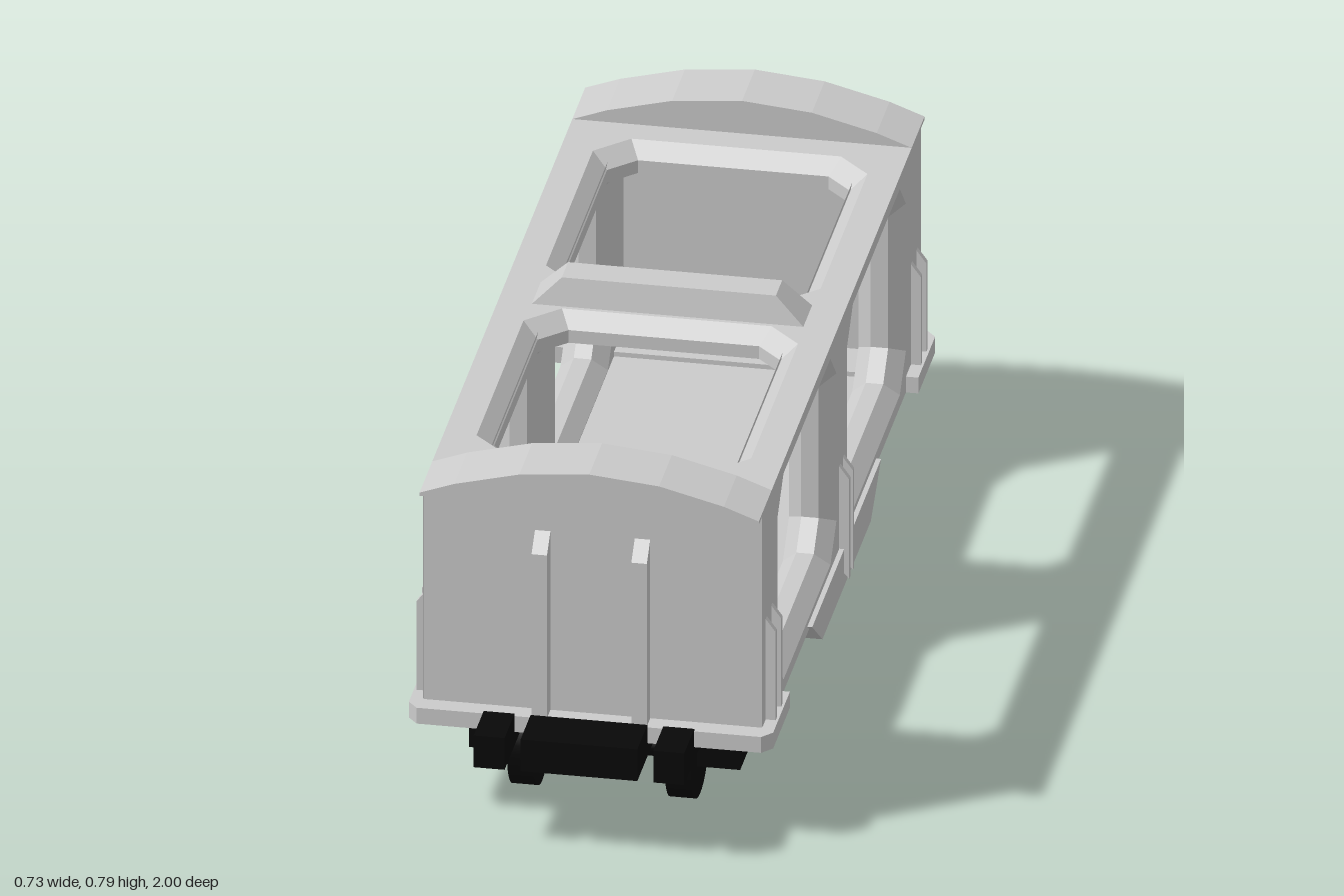
import * as THREE from 'three';

const grey = new THREE.MeshStandardMaterial({ color: 0xcccccc, flatShading: true });
const sheet = new THREE.MeshStandardMaterial({ color: 0xcccccc, flatShading: true, side: THREE.DoubleSide });
const black = new THREE.MeshStandardMaterial({ color: 0x080808 });
const vecs = (pts) => pts.map(([a, b]) => new THREE.Vector2(a, b));

function add(parent, name, geometry, material = grey) {
  const mesh = new THREE.Mesh(geometry, material);
  mesh.name = name;
  parent.add(mesh);
  return mesh;
}

// box given by its min and max on each axis
function box(parent, name, [x0, x1], [y0, y1], [z0, z1], material) {
  const g = new THREE.BoxGeometry(x1 - x0, y1 - y0, z1 - z0);
  g.translate((x0 + x1) / 2, (y0 + y1) / 2, (z0 + z1) / 2);
  return add(parent, name, g, material);
}

// outline extruded along local z, centred on it
function prism(pts, depth, holes = []) {
  const shape = new THREE.Shape(vecs(pts));
  shape.holes = holes.map((h) => new THREE.Path(vecs(h)));
  return new THREE.ExtrudeGeometry(shape, { depth, bevelEnabled: false }).translate(0, 0, -depth / 2);
}
// the same with outline (z, y) along x, and outline (x, z) along y
const prismX = (pts, depth, holes) => prism(pts, depth, holes).rotateY(-Math.PI / 2);
const prismY = (pts, depth) => prism(pts, depth).rotateX(Math.PI / 2);

// chamfered rectangle, counter-clockwise
function octagon(cx, w, h, c) {
  return [[w - c, -h], [w, c - h], [w, h - c], [w - c, h], [c - w, h], [-w, h - c], [-w, c - h], [c - w, -h]]
    .map(([x, y]) => [x + cx, y]);
}

// bands joining successive octagons, each [points, depth]
function loft(sections) {
  const pos = [];
  for (let s = 0; s < sections.length - 1; s++) {
    const [p, zp] = sections[s], [q, zq] = sections[s + 1];
    for (let i = 0; i < p.length; i++) {
      const j = (i + 1) % p.length;
      const a = [...p[i], -zp], b = [...p[j], -zp], c = [...q[j], -zq], d = [...q[i], -zq];
      pos.push(...a, ...b, ...c, ...a, ...c, ...d);
    }
  }
  const g = new THREE.BufferGeometry();
  g.setAttribute('position', new THREE.Float32BufferAttribute(pos, 3));
  g.computeVertexNormals();
  return g;
}

// panel with two framed openings; steps are [depth, shrink] of the frame
function openPanel(name, halfHeight, holeHalf, steps) {
  const panel = new THREE.Group();
  panel.name = name;
  const ring = (cx, shrink) => octagon(cx, 0.317 - shrink, holeHalf - shrink, 0.065 - shrink * 0.4);
  const last = steps[steps.length - 1];
  for (const [depth, shrink, inset] of [[0, 0, 0], [...last, 0.02]]) {
    const w = 0.85 - inset, h = halfHeight - inset;
    const shape = new THREE.Shape(vecs([[-w, -h], [w, -h], [w, h], [-w, h]]));
    shape.holes = [-1, 1].map((s) => new THREE.Path(vecs(ring(s * 0.373, shrink))));
    add(panel, depth ? 'innerSkin' : 'outerSkin', new THREE.ShapeGeometry(shape).translate(0, 0, -depth), sheet);
  }
  for (const s of [-1, 1]) {
    add(panel, 'openingFrame', loft(steps.map(([d, k]) => [ring(s * 0.373, k), d])), sheet);
  }
  return panel;
}

function createBody() {
  const body = new THREE.Group();
  body.name = 'body';
  // side walls and roof
  for (const s of [-1, 1]) {
    const wall = openPanel('sideWall', 0.255, 0.228, [[0, 0], [0.03, 0.03], [0.065, 0.03], [0.095, 0]]);
    wall.rotation.y = s * Math.PI / 2;
    wall.position.set(s * 0.34, 0.465, 0);
    body.add(wall);
  }
  const roof = openPanel('roof', 0.34, 0.275, [[0, 0], [0.03, 0.032], [0.058, 0.032]]);
  roof.rotation.set(-Math.PI / 2, 0, Math.PI / 2);
  roof.position.y = 0.72;
  body.add(roof);

  // tapered beam across the middle of the roof
  const beam = new THREE.BoxGeometry(0.55, 0.06, 0.096);
  const p = beam.attributes.position;
  for (let i = 0; i < p.count; i++) {
    if (p.getY(i) > 0) p.setXYZ(i, p.getX(i) * 0.78, 0.03, p.getZ(i) * 0.7);
  }
  add(body, 'roofBeam', beam).position.y = 0.747;

  box(body, 'floor', [-0.34, 0.34], [0.21, 0.235], [-0.86, 0.86]);
  add(body, 'sideSill', prismX([[-0.37, 0.225], [-0.26, 0.143], [0.26, 0.143], [0.37, 0.225]], 0.05))
    .position.x = 0.325;

  // thin ribs on both sides: a long pair in the middle, shorter pairs at the corners
  const rib = (low, high, cut) => prism([[0.33, low + cut], [0.36, low], [0.36, high - 0.03], [0.338, high], [0.33, high]], 0.013);
  for (const z of [-0.81, -0.75, -0.02, 0.02, 0.75, 0.81]) {
    const middle = Math.abs(z) < 0.1;
    for (const turn of [0, Math.PI]) {
      const g = middle ? rib(0.16, 0.41, 0.035) : rib(0.24, 0.47, 0);
      add(body, 'sideRib', g.rotateY(turn)).position.z = z;
    }
  }
  return body;
}

// one end: wall, arched cap, step plate, ribs and buffers
function createEnd() {
  const end = new THREE.Group();
  end.name = 'end';
  box(end, 'endWall', [-0.339, 0.339], [0.22, 0.719], [0.79, 0.853]);
  const half = [[0.34, 0.713], [0.34, 0.72], [0.27, 0.746], [0.14, 0.779]];
  const arch = [...half, [0, 0.792], ...half.map(([x, y]) => [-x, y]).reverse()];
  add(end, 'roofCap', prism(arch, 0.138)).position.z = 0.821;
  const plate = [[-0.365, 0.69], [0.365, 0.69], [0.365, 0.87], [0.345, 0.893], [-0.345, 0.893], [-0.365, 0.87]];
  add(end, 'stepPlate', prismY(plate, 0.035)).position.y = 0.2275;
  for (const s of [-1, 1]) {
    add(end, 'endRib', prismX([[0.84, 0.24], [0.89, 0.24], [0.89, 0.605], [0.853, 0.64], [0.84, 0.64]], 0.031))
      .position.x = s * 0.1;
    const x = [s * 0.18 - 0.031, s * 0.18 + 0.031];
    box(end, 'buffer', x, [0.18, 0.25], [0.892, 1], black);
    box(end, 'bufferMount', x, [0.18, 0.212], [0.83, 0.9], black);
  }
  box(end, 'coupler', [-0.117, 0.117], [0.18, 0.25], [0.892, 1], black);
  box(end, 'couplerMount', [-0.117, 0.117], [0.18, 0.212], [0.83, 0.9], black);
  return end;
}

function createBogie() {
  const bogie = new THREE.Group();
  bogie.name = 'bogie';
  // pierced side frames with a spring between the openings
  const outline = [[-0.2, 0.21], [-0.2, 0.175], [-0.165, 0.165], [-0.085, 0.072], [0.085, 0.072], [0.165, 0.165], [0.2, 0.175], [0.2, 0.21]];
  const slot = [[0.045, 0.183], [0.045, 0.1], [0.075, 0.1], [0.13, 0.17], [0.12, 0.183]];
  const holes = [slot, slot.map(([z, y]) => [-z, y])];
  for (const s of [-1, 1]) {
    add(bogie, 'sideFrame', prismX(outline, 0.065, holes)).position.x = s * 0.223;
    for (const [name, y, h, w] of [['springSeat', 0.107, 0.02, 0.07], ['spring', 0.14, 0.07, 0.03], ['springCap', 0.174, 0.02, 0.07]]) {
      add(bogie, name, new THREE.BoxGeometry(0.03, h, w)).position.set(s * 0.262, y, 0);
    }
  }
  box(bogie, 'bolster', [-0.2, 0.2], [0.13, 0.212], [-0.075, 0.075]);

  // wheelsets
  for (const z of [-0.243, 0.243]) {
    add(bogie, 'axle', new THREE.CylinderGeometry(0.026, 0.026, 0.44, 16).rotateZ(Math.PI / 2), black).position.set(0, 0.103, z);
    for (const s of [-1, 1]) {
      add(bogie, 'wheel', new THREE.CylinderGeometry(0.103, 0.103, 0.052, 32).rotateZ(Math.PI / 2), black)
        .position.set(s * 0.158, 0.103, z);
      add(bogie, 'axleBox', new THREE.BoxGeometry(0.087, 0.093, 0.08), black).position.set(s * 0.228, 0.126, z);
      add(bogie, 'axleBracket', new THREE.BoxGeometry(0.065, 0.07, 0.084)).position.set(s * 0.223, 0.175, z);
    }
  }
  return bogie;
}

export function createModel() {
  const model = new THREE.Group();
  model.name = 'railwayCarriage';
  model.add(createBody());
  for (const s of [1, -1]) {
    const end = createEnd();
    if (s < 0) end.rotation.y = Math.PI;
    model.add(end);
    const bogie = createBogie();
    bogie.position.z = s * 0.44;
    model.add(bogie);
  }
  return model;
}
